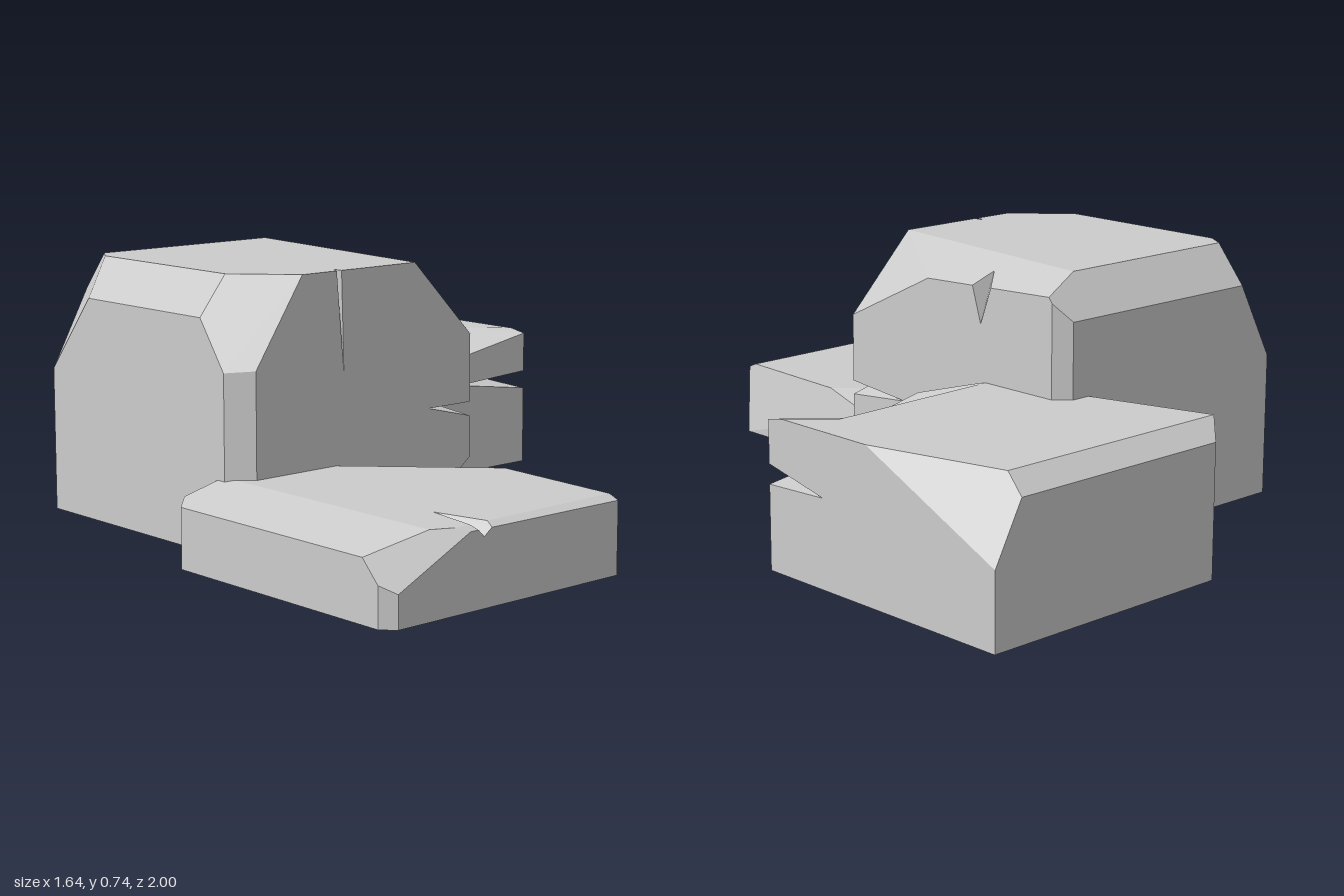
import * as THREE from 'three';

const V = (p) => new THREE.Vector3(...p);

// Plane through three points, facing away from the inside point
function planeOf([a, b, c], inside) {
  const p = new THREE.Plane().setFromCoplanarPoints(V(a), V(b), V(c));
  return p.distanceToPoint(inside) > 0 ? p.negate() : p;
}

// Part of a convex polygon behind a plane
function clip(poly, plane) {
  const out = [];
  poly.forEach((a, i) => {
    const b = poly[(i + 1) % poly.length];
    const da = plane.distanceToPoint(a), db = plane.distanceToPoint(b);
    if (da <= 1e-6) out.push(a);
    if ((da > 1e-6 && db < -1e-6) || (da < -1e-6 && db > 1e-6)) out.push(a.clone().lerp(b, da / (da - db)));
  });
  return out.length > 2 ? out : [];
}

// Large square on a plane, trimmed by other planes
function faceOf(plane, others) {
  const n = plane.normal;
  const u = new THREE.Vector3(Math.abs(n.y) > 0.9 ? 1 : 0, Math.abs(n.y) > 0.9 ? 0 : 1, 0).cross(n).normalize();
  const w = n.clone().cross(u);
  const o = plane.coplanarPoint(new THREE.Vector3());
  const quad = [[-9, -9], [9, -9], [9, 9], [-9, 9]].map(([s, t]) =>
    o.clone().addScaledVector(u, s).addScaledVector(w, t));
  return others.reduce((poly, p) => (p === plane ? poly : clip(poly, p)), quad);
}

// Take the wedge bounded by the cutter planes out of the polygons
function carve(polys, body, cutter) {
  const out = [];
  for (const poly of polys) {
    if (!cutter.reduce(clip, poly).length) { out.push(poly); continue; }
    let rest = poly;
    for (const p of cutter) {
      out.push(clip(rest, p.clone().negate()));
      rest = clip(rest, p);
    }
  }
  for (const p of cutter) out.push(faceOf(p, [...cutter, ...body]).reverse());
  return out;
}

// Crack across an edge: mouth e1-e2 on the edge, tips t1 and t2 on the faces beside it
function crack(e1, e2, t1, t2) {
  const mid = V(e1).lerp(V(e2), 0.5);
  return [planeOf([t1, t2, e1], mid), planeOf([t1, t2, e2], mid)];
}

// Box between two corners, with planar corner cuts and carved notches
function stone(name, lo, hi, cuts, notches) {
  const a = V(lo), b = V(hi), centre = a.clone().lerp(b, 0.5);
  const body = cuts.map((c) => planeOf(c, centre));
  ['x', 'y', 'z'].forEach((k) => {
    const n = new THREE.Vector3();
    n[k] = 1;
    body.push(new THREE.Plane(n, -b[k]), new THREE.Plane(n.clone().negate(), a[k]));
  });
  let polys = body.map((p) => faceOf(p, body));
  for (const notch of notches) polys = carve(polys, body, notch);

  const pos = [];
  for (const poly of polys)
    for (let i = 1; i < poly.length - 1; i++)
      for (const v of [poly[0], poly[i], poly[i + 1]]) pos.push(v.x, v.y, v.z);
  const geo = new THREE.BufferGeometry();
  geo.setAttribute('position', new THREE.Float32BufferAttribute(pos, 3));
  geo.computeVertexNormals();
  const mesh = new THREE.Mesh(geo, new THREE.MeshStandardMaterial({ color: 0xcccccc, flatShading: true }));
  mesh.name = name;
  return mesh;
}

export function createModel() {
  const group = new THREE.Group();
  group.name = 'steppedStones';

  group.add(stone('tallStone', [-0.66, 0, -0.59], [0.18, 0.74, 0.25], [
    [[0, 0.74, -0.5], [1, 0.74, -0.5], [0, 0.63, -0.59]],                  // back top
    [[0.05, 0.74, -0.5], [-0.035, 0.74, 0.25], [0.18, 0.675, -0.07]],      // +x top
    [[-0.035, 0.74, 0.25], [0.18, 0.52, 0.25], [0.18, 0.675, -0.07]],      // front +x corner
    [[0.14, 0, -0.59], [0.14, 1, -0.59], [0.18, 0, -0.55]],                // back +x upright edge
    [[-0.58, 0.74, 0], [-0.58, 0.74, 1], [-0.66, 0.63, 0]],                // -x top
    [[-0.66, 0, 0.19], [-0.66, 1, 0.19], [-0.6, 0, 0.25]],                 // front -x upright edge
    [[-0.44, 0.74, 0.25], [-0.6, 0.5, 0.25], [-0.58, 0.74, 0.1]],          // front -x corner
    [[-0.58, 0.74, -0.44], [-0.54, 0.74, -0.5], [-0.54, 0.63, -0.59]],     // back -x corner
  ], [
    crack([-0.32, 0.74, 0.25], [-0.303, 0.74, 0.25], [-0.305, 0.74, 0.22], [-0.295, 0.46, 0.25]),
    crack([0.18, 0.675, -0.25], [0.18, 0.675, -0.315], [0.1, 0.712, -0.25], [0.18, 0.58, -0.28]),
    crack([0.18, 0.325, 0.25], [0.18, 0.285, 0.25], [0.02, 0.325, 0.25], [0.18, 0.305, 0.03]),
    crack([0.18, 0.165, 0.25], [0.18, 0.125, 0.25], [0.06, 0.07, 0.25], [0.18, 0.07, 0.07]),
  ]));

  group.add(stone('lowFrontStone', [-0.82, 0, 0.16], [0.02, 0.21, 1], [
    [[-0.64, 0.21, 0], [-0.64, 0.21, 1], [-0.82, 0.165, 0]],               // -x slope
    [[-0.79, 0.085, 1], [-0.54, 0.205, 1], [-0.82, 0.165, 0.91]],          // front -x corner
    [[-0.82, 0, 0.965], [-0.82, 1, 0.965], [-0.787, 0, 1]],                // front -x upright edge
    [[-0.82, 0, 0.21], [-0.82, 1, 0.21], [-0.77, 0, 0.16]],                // back -x upright edge
    [[0, 0.205, 0.55], [-0.32, 0.21, 0.25], [0.02, 0.14, 0.25]],           // back +x slope
    [[-0.025, 0, 1], [-0.025, 1, 1], [0.02, 0, 0.955]],                    // front +x upright edge
    [[0.02, 0, 0.955], [-0.025, 0.2, 1], [0, 0.205, 0.55]],                // leaning +x side
    [[-0.46, 0.21, 0.975], [-0.02, 0.21, 0.97], [-0.03, 0.197, 1]],        // front top
  ], [
    crack([-0.535, 0.21, 1], [-0.465, 0.21, 1], [-0.505, 0.21, 0.82], [-0.505, 0.18, 1]),
  ]));

  // Shallow dent along the front top of the back stone
  const low = [0.48, 0.35, -0.16], dl = [0.2, 0.42, -0.3], dr = [0.72, 0.42, -0.315];
  const above = new THREE.Vector3(0.5, 0.5, -0.16);
  const dent = [[dl, dr, low], [dr, [0.82, 0.41, -0.16], low], [dl, low, [0.3, 0.388, -0.16]]]
    .map((t) => planeOf(t, above));

  group.add(stone('backStone', [-0.02, 0, -1], [0.82, 0.42, -0.16], [
    [[0, 0.42, -0.94], [1, 0.42, -0.94], [0, 0.37, -1]],                   // back top
    [[0.72, 0.42, -0.945], [0.82, 0.42, -0.54], [0.82, 0.21, -1]],         // back +x corner
    [[-0.02, 0, -0.94], [-0.02, 1, -0.94], [0.04, 0, -1]],                 // back -x upright edge
    [[-0.02, 0.42, -0.94], [0.08, 0.42, -0.59], [-0.02, 0.3, -0.59]],      // -x slope
    [[0.18, 0.35, -0.16], [0.3, 0.388, -0.16], [0.18, 0.42, -0.3]],        // front -x corner
  ], [
    dent,
    crack([0.82, 0.29, -0.16], [0.82, 0.235, -0.16], [0.54, 0.275, -0.16], [0.82, 0.245, -0.375]),
  ]));

  return group;
}
